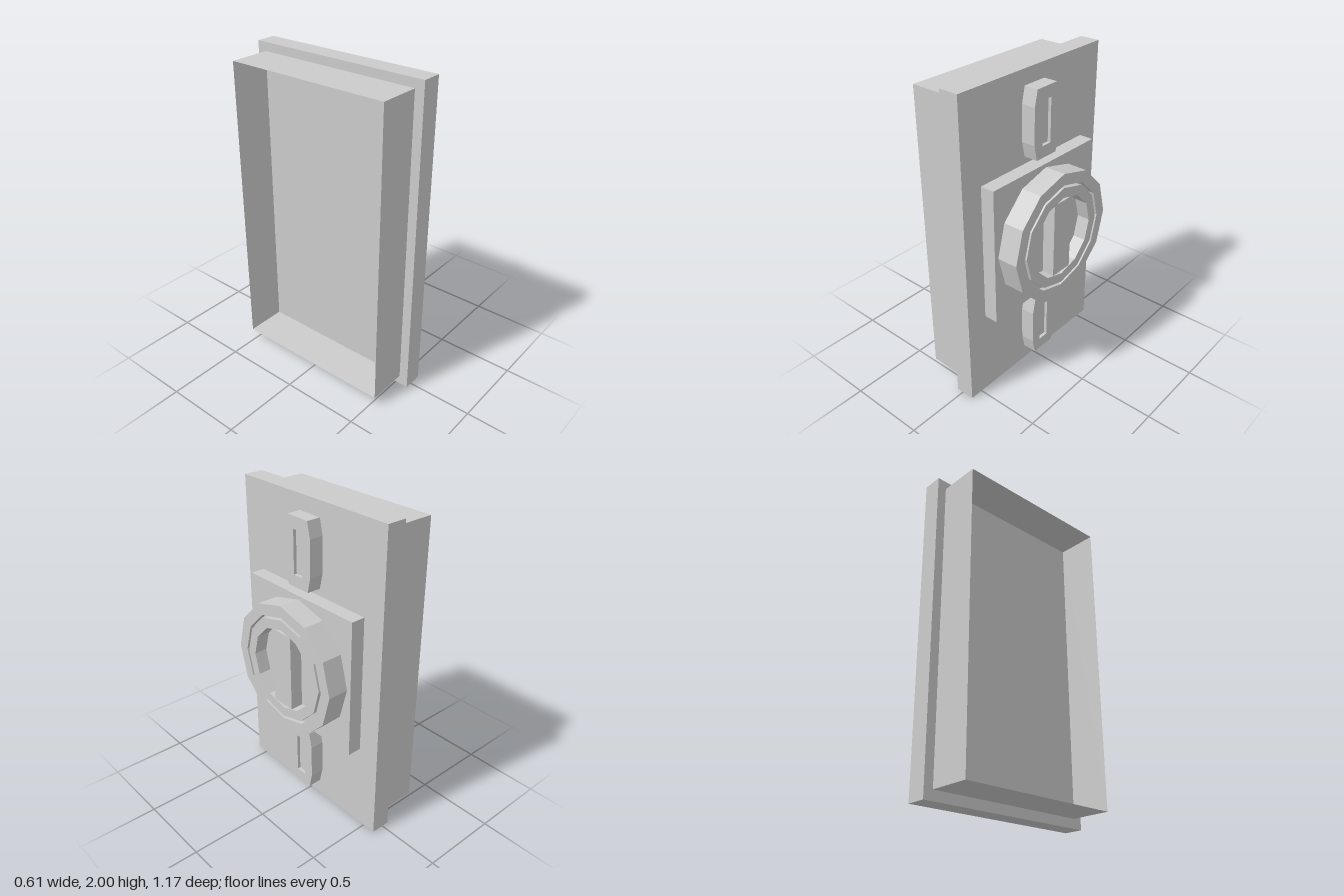
import * as THREE from 'three';

const material = new THREE.MeshStandardMaterial({ color: 0xcccccc, flatShading: true });
const thinMaterial = new THREE.MeshStandardMaterial({ color: 0xcccccc, flatShading: true, side: THREE.DoubleSide });

const CENTER_Y = 1.003;

function mesh(name, geometry, mat = material) {
  const m = new THREE.Mesh(geometry, mat);
  m.name = name;
  return m;
}

// Box given by its x range, y range and half width in z
function slab(name, x0, x1, y0, y1, halfZ) {
  const g = new THREE.BoxGeometry(x1 - x0, y1 - y0, halfZ * 2);
  g.translate((x0 + x1) / 2, (y0 + y1) / 2, 0);
  return mesh(name, g);
}

// Outline in the z-y plane, extruded along +x
function extrudeX(shape, x0, x1) {
  return new THREE.ExtrudeGeometry(shape, { depth: x1 - x0, bevelEnabled: false })
    .translate(0, 0, x0)
    .rotateY(Math.PI / 2);
}

const points = (list) => list.map(([x, y]) => new THREE.Vector2(x, y));

// Tapered lug with a shallow slot in its face
function createLug(name, y) {
  const group = new THREE.Group();
  group.name = name;
  const outline = points([
    [-0.083, -0.209], [0.083, -0.209], [0.105, -0.112], [0.105, 0.112],
    [0.083, 0.209], [-0.083, 0.209], [-0.105, 0.112], [-0.105, -0.112],
  ]);
  const rim = new THREE.Shape(outline);
  rim.holes.push(new THREE.Path(points([[-0.035, -0.135], [-0.035, 0.135], [0.035, 0.135], [0.035, -0.135]])));
  group.add(mesh('lugBase', extrudeX(new THREE.Shape(outline), 0.08, 0.15)));
  group.add(mesh('lugRim', extrudeX(rim, 0.15, 0.17)));
  group.position.y = y;
  return group;
}

export function createModel() {
  const model = new THREE.Group();
  model.name = 'wallSwitch';

  // Back box: four thin walls, open at the rear
  const box = new THREE.BoxGeometry(0.26, 1.885, 1.054);
  box.setIndex(Array.from(box.index.array).slice(12)); // drop both x faces
  box.clearGroups();
  box.translate(-0.175, 1.003, 0);
  model.add(mesh('backBox', box, thinMaterial));

  // Face plate and raised square
  model.add(slab('facePlate', -0.045, 0.08, 0, 2, 0.585));
  model.add(slab('squarePlate', 0.08, 0.17, 0.565, 1.441, 0.443));

  // Twelve-sided dial: outer ring, narrow groove, inner ring, recessed floor
  const profile = points([
    [0.415, 0], [0.415, 0.133], [0.343, 0.133], [0.343, 0.1], [0.325, 0.1],
    [0.325, 0.133], [0.262, 0.133], [0.262, 0.05], [0, 0.05],
  ]);
  const dial = mesh('dialRing', new THREE.LatheGeometry(profile, 12).rotateZ(-Math.PI / 2));
  dial.position.set(0.17, CENTER_Y, 0);
  model.add(dial);

  // Grip bar across the recess
  model.add(slab('gripBar', 0.215, 0.3, CENTER_Y - 0.242, CENTER_Y + 0.242, 0.077));

  // Slotted lugs above and below the dial
  model.add(createLug('upperLug', 1.696));
  model.add(createLug('lowerLug', 0.31));

  return model;
}
